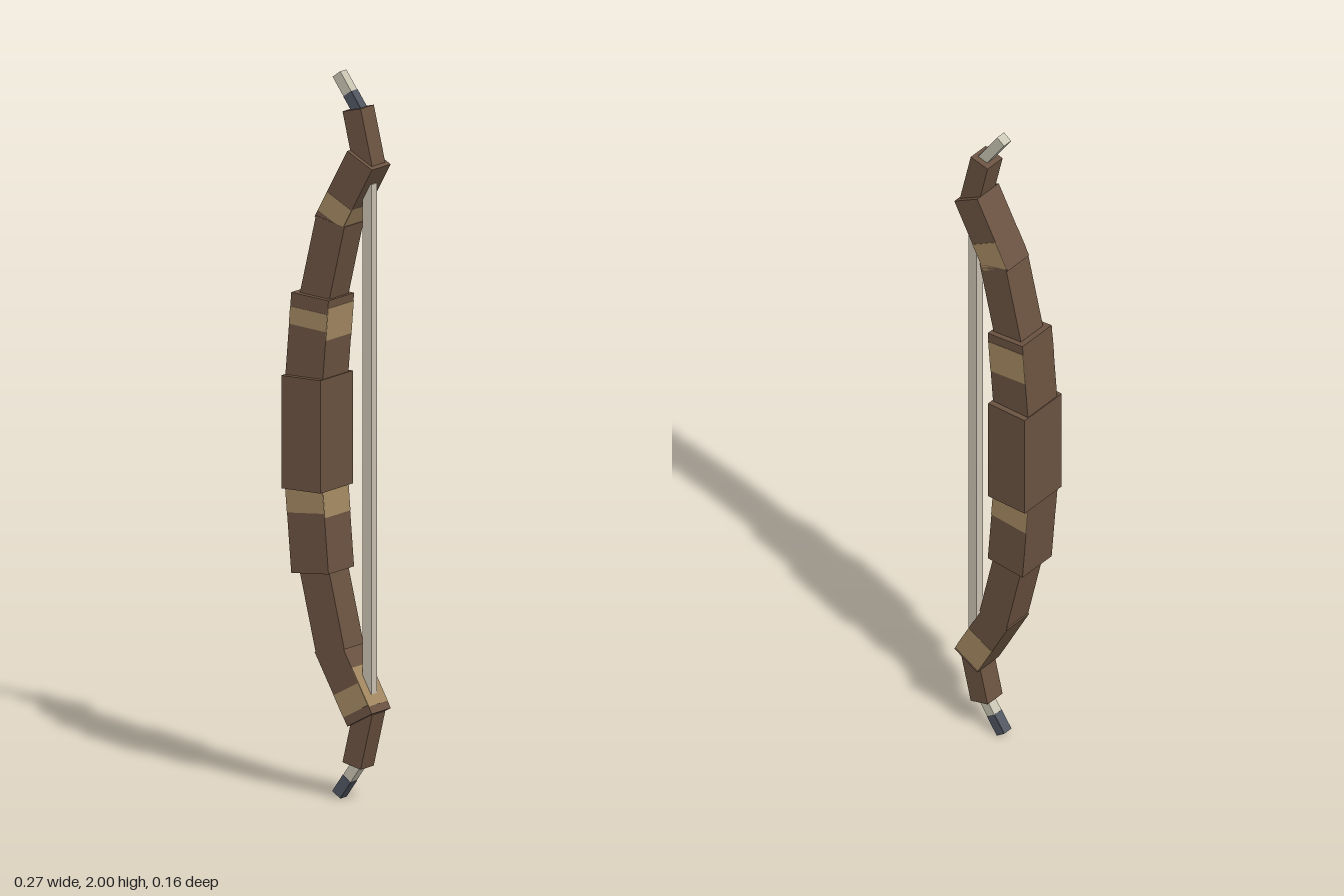
import * as THREE from 'three';

const flat = (name, color) => {
  const m = new THREE.MeshStandardMaterial({ color });
  m.name = name;
  return m;
};

export function createModel() {
  const wood = flat('brown wood', 0x6b5341);
  const wrap = flat('tan wrap', 0xa58a63);
  const bone = flat('pale bone', 0xc9c5b3);
  const steel = flat('dark steel', 0x515661);
  const cord = flat('pale cord', 0xccc3b3);

  const bow = new THREE.Group();
  bow.name = 'bow';

  const box = (name, w, h, d, material) => {
    const mesh = new THREE.Mesh(new THREE.BoxGeometry(w, h, d), material);
    mesh.name = name;
    return mesh;
  };

  // A straight block from its lower end a to its upper end b, with painted
  // plates on chosen faces; each plate spans [t0, t1] of the block's length.
  function segment(name, a, b, w, d, material, paint, plates = {}) {
    const group = new THREE.Group();
    group.name = name;
    const dx = b[0] - a[0], dy = b[1] - a[1], len = Math.hypot(dx, dy);
    group.position.set((a[0] + b[0]) / 2, (a[1] + b[1]) / 2, 0);
    group.rotation.z = -Math.atan2(dx, dy);
    group.add(box(name + 'Block', w, len, d, material));
    const t = 0.002;
    for (const [face, [t0, t1]] of Object.entries(plates)) {
      const side = face === 'left' || face === 'right';
      const sign = face === 'left' || face === 'front' ? 1 : -1;
      const h = (t1 - t0) * len;
      const plate = side ? box(name + 'Band', t, h, d, paint) : box(name + 'Band', w, h, t, paint);
      plate.position.set(side ? sign * w / 2 : 0, ((t0 + t1) / 2 - 0.5) * len, side ? 0 : sign * d / 2);
      group.add(plate);
    }
    bow.add(group);
  }

  // Grip in the middle
  const grip = box('grip', 0.126, 0.31, 0.158, wood);
  grip.position.set(-0.073, 1.004, 0);
  bow.add(grip);

  // Limb blocks from the grip outwards: inner end, outer end, width, depth,
  // then the painted bands of the upper and the lower limb
  const parts = [
    { name: 'Riser', a: [-0.075, 1.14], b: [-0.055, 1.382], w: 0.12, d: 0.125, mat: wood, paint: wrap,
      upper: { front: [0.64, 0.84], left: [0.54, 0.91], back: [0.5, 0.89] },
      lower: { front: [0.68, 1], left: [0.63, 1], back: [0.63, 1] } },
    { name: 'InnerLimb', a: [-0.055, 1.36], b: [0, 1.592], w: 0.094, d: 0.094, mat: wood },
    { name: 'OuterLimb', a: [-0.011, 1.578], b: [0.094, 1.77], w: 0.09, d: 0.092, mat: wood, paint: wrap,
      upper: { front: [0.1, 0.38], left: [0.02, 0.4], back: [0.03, 0.4] },
      lower: { front: [0.12, 0.42], left: [0.1, 0.62], back: [0.04, 0.48] } },
    { name: 'Recurve', a: [0.096, 1.748], b: [0.059, 1.902], w: 0.06, d: 0.064, mat: wood },
    { name: 'Tip', a: [0.066, 1.895], b: [-0.001, 1.991], w: 0.03, d: 0.03, mat: bone, paint: steel,
      upper: { front: [0, 0.48], left: [0, 0.48] },
      lower: { front: [0, 0.5], left: [0, 0.5], back: [0, 0.5], right: [0, 0.5] } },
  ];
  const mirror = ([x, y]) => [x, 2.003 - y];
  for (const p of parts) {
    segment('upper' + p.name, p.a, p.b, p.w, p.d, p.mat, p.paint, p.upper);
    segment('lower' + p.name, mirror(p.b), mirror(p.a), p.w, p.d, p.mat, p.paint, p.lower);
  }

  // Bowstring
  const string = box('bowstring', 0.028, 1.4, 0.028, cord);
  string.position.set(0.097, 1.0, 0);
  bow.add(string);

  return bow;
}
